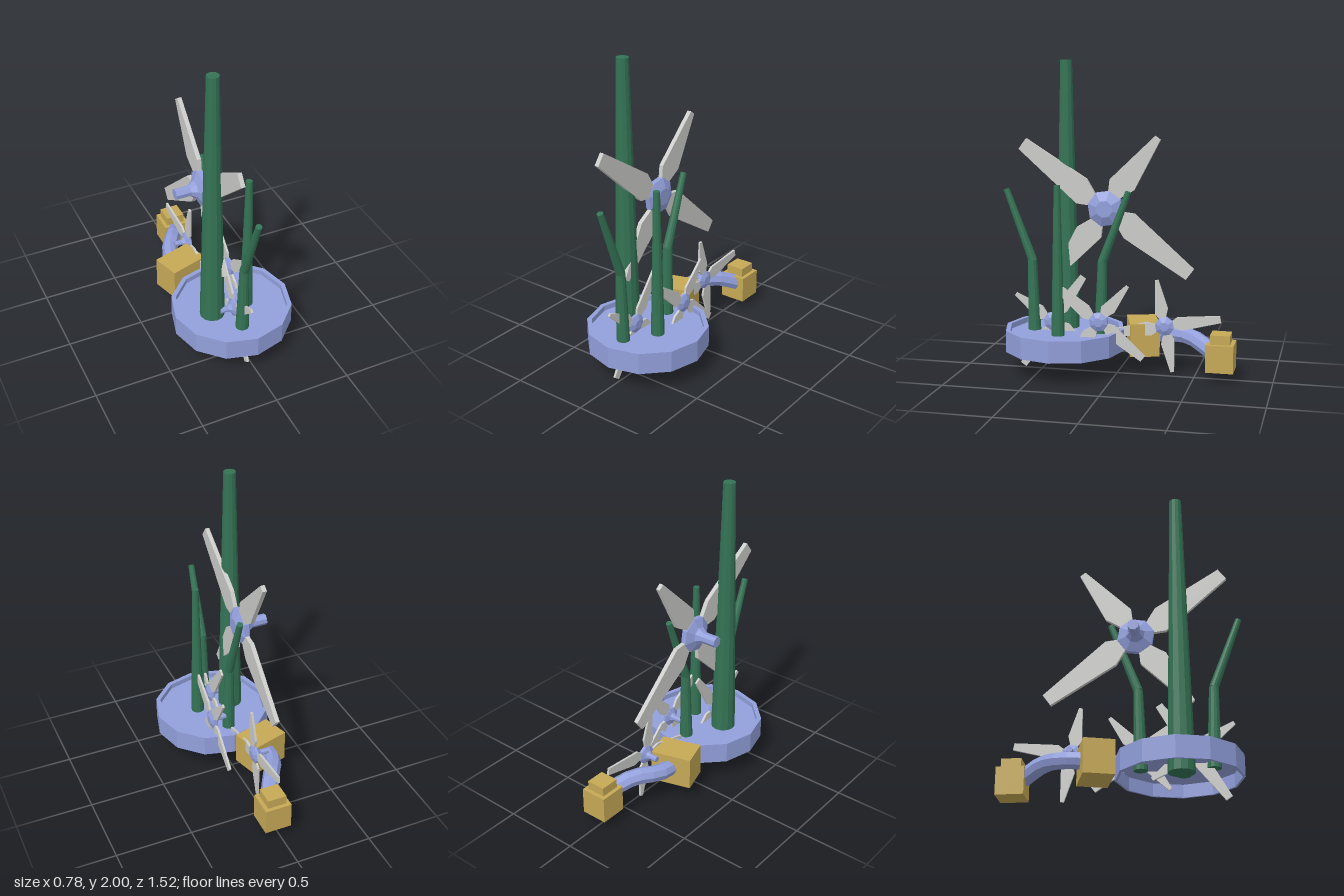
import * as THREE from 'three';

const mat = (name, color) => new THREE.MeshStandardMaterial({ name, color, flatShading: true });

export function createModel() {
  const root = new THREE.Group();
  root.name = 'fanGarden';
  const blue = mat('periwinkle blue', 0x929fdb);
  const green = mat('stem green', 0x347355);
  const gold = mat('ochre gold', 0xc6a956);
  const grey = mat('blade grey', 0xcbcbc9);

  const add = (parent, name, geometry, material, pos = [0, 0, 0]) => {
    const m = new THREE.Mesh(geometry, material);
    m.name = name;
    m.position.set(...pos);
    parent.add(m);
    return m;
  };
  const profile = (pts) => pts.map(([x, y]) => new THREE.Vector2(x, y));

  // Twelve-sided tray, recessed above and hollow below
  add(root, 'tray', new THREE.LatheGeometry(profile([
    [0, 0.235], [0.375, 0.235], [0.375, 0.15], [0.39, 0.15],
    [0.39, 0.29], [0.36, 0.29], [0.36, 0.255], [0, 0.255],
  ]), 12), blue, [0, 0, 0.345]);

  // Tapered stem section between two points
  const stem = (name, a, b, r0, r1) => {
    const from = new THREE.Vector3(...a), to = new THREE.Vector3(...b);
    const dir = to.clone().sub(from);
    const m = add(root, name, new THREE.CylinderGeometry(r1, r0, dir.length(), 12), green);
    m.position.copy(from).addScaledVector(dir, 0.5);
    m.quaternion.setFromUnitVectors(new THREE.Vector3(0, 1, 0), dir.normalize());
  };
  stem('tallStem', [-0.145, 0.14, 0.365], [-0.145, 2, 0.365], 0.083, 0.039);
  stem('straightStem', [0.097, 0.2, 0.365], [0.097, 1.22, 0.365], 0.045, 0.021);

  // Two stems that lean away from each other above the bend
  for (const s of [1, -1]) {
    const z = (d) => 0.335 + s * d;
    const bend = [-0.025, 0.72, z(0.233)];
    stem('bentStemBase', [-0.025, 0.2, z(0.22)], bend, 0.044, 0.03);
    stem('bentStemTip', bend, [-0.025, 1.175, z(0.403)], 0.03, 0.02);
  }

  // Flat blade, wider near the hub
  const bladeGeometry = (length, tip) => {
    const shape = new THREE.Shape(profile([
      [0.05, -0.04], [0.11, -0.036], [0.21, -0.078], [length, -tip],
      [length, tip], [0.17, 0.09], [0.1, 0.05], [0.05, 0.04],
    ]));
    const g = new THREE.ExtrudeGeometry(shape, { depth: 0.028, bevelEnabled: false });
    return g.translate(0, 0, -0.014);
  };
  const shortBlade = bladeGeometry(0.57, 0.021);
  const longBlade = bladeGeometry(0.685, 0.042);
  const hubGeometry = new THREE.LatheGeometry(profile([
    [0, -0.178], [0.036, -0.178], [0.036, -0.08], [0.06, -0.045],
    [0.118, -0.018], [0.118, 0.016], [0.056, 0.046], [0, 0.046],
  ]), 8, Math.PI / 8);

  // Four-bladed fan facing +x; angle turns the short pair
  const fan = (name, pos, scale, angle) => {
    const g = new THREE.Group();
    g.name = name;
    g.position.set(...pos);
    g.rotation.y = Math.PI / 2;
    g.scale.setScalar(scale);
    const spin = new THREE.Group();
    spin.name = 'rotor';
    spin.rotation.z = THREE.MathUtils.degToRad(angle);
    g.add(spin);
    add(spin, 'hub', hubGeometry, blue).rotation.x = Math.PI / 2;
    for (let i = 0; i < 4; i++) {
      add(spin, 'blade', i % 2 ? longBlade : shortBlade, grey).rotation.z = i * Math.PI / 2;
    }
    root.add(g);
  };
  fan('largeFan', [-0.098, 1.055, 0.097], 1, 53.5);
  fan('middleFan', [0.1, 0.357, 0.097], 0.53, 52);
  fan('frontFan', [-0.025, 0.315, 0.432], 0.53, 146);
  fan('rearFan', [-0.025, 0.32, -0.305], 0.53, 100);

  // Turned box behind the tray
  add(root, 'turnedBox', new THREE.BoxGeometry(0.265, 0.215, 0.19), gold,
    [-0.145, 0.22, -0.142]).rotation.y = 0.29;

  // Stepped box at the far end
  add(root, 'endBox', new THREE.BoxGeometry(0.175, 0.175, 0.175), gold, [0.0175, 0.1575, -0.672]);
  add(root, 'endBoxCap', new THREE.BoxGeometry(0.125, 0.06, 0.125), gold, [0.0175, 0.274, -0.672]);

  // Bent pipe joining the boxes
  const path = new THREE.CatmullRomCurve3([
    [-0.155, 0.225, -0.15], [-0.15, 0.24, -0.32], [-0.065, 0.25, -0.47], [0.025, 0.185, -0.62],
  ].map((p) => new THREE.Vector3(...p)));
  add(root, 'pipe', new THREE.TubeGeometry(path, 7, 0.054, 8), blue);

  return root;
}
